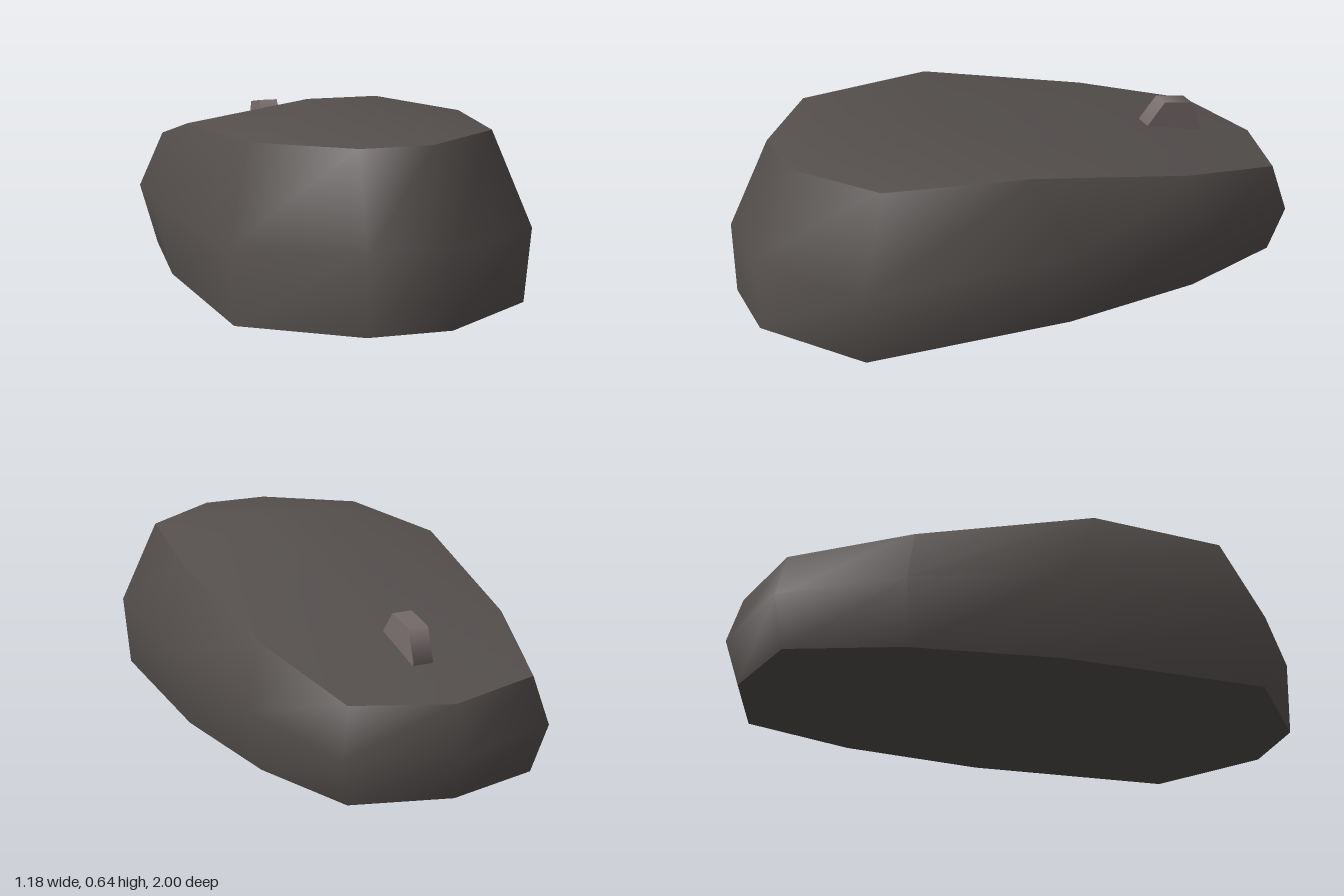
import * as THREE from 'three';

const shellMat = new THREE.MeshStandardMaterial({ color: 0x55504e });
shellMat.name = 'charcoal';
const wheelMat = new THREE.MeshStandardMaterial({ color: 0x7a6e6e });
wheelMat.name = 'warm grey';

// Half outlines (x, y, z) from the front round the left side to the back tip
const topHalf = [[0.12, 0.56, 0.86], [0.41, 0.56, 0.64], [0.49, 0.55, 0.15], [0.44, 0.42, -0.46], [0.33, 0.33, -0.86], [0, 0.315, -0.95]];
const midHalf = [[0.14, 0.26, 1], [0.51, 0.25, 0.75], [0.59, 0.28, 0.02], [0.52, 0.22, -0.5], [0.37, 0.17, -0.9], [0, 0.155, -1]];
const baseHalf = [[0.14, 0, 0.995], [0.49, 0, 0.74], [0.52, 0, 0.02], [0.46, 0, -0.48], [0.33, 0, -0.86], [0, 0, -0.95]];

// Full closed ring from a half outline
const ring = (half) => [...half, ...half.slice(0, -1).reverse().map(([x, y, z]) => [-x, y, z])];

function meshFrom(name, points, index) {
  const geo = new THREE.BufferGeometry();
  geo.setAttribute('position', new THREE.Float32BufferAttribute(points.flat(), 3));
  geo.setIndex(index);
  geo.computeVertexNormals();
  const mesh = new THREE.Mesh(geo, shellMat);
  mesh.name = name;
  return mesh;
}

export function createModel() {
  const group = new THREE.Group();
  group.name = 'computerMouse';
  const top = ring(topHalf), mid = ring(midHalf), base = ring(baseHalf);
  const n = top.length;

  // Side wall: two smooth bands between the base, middle and top rings
  const wall = [];
  for (let r = 0; r < 2; r++) {
    for (let i = 0; i < n; i++) {
      const j = (i + 1) % n;
      const a = r * n + i, b = r * n + j, c = a + n, d = b + n;
      wall.push(a, b, d, a, d, c);
    }
  }
  group.add(meshFrom('sideWall', [...base, ...mid, ...top], wall));

  // Domed top: fans from the two ends of the short ridge
  const left = n, right = n + 1, tip = topHalf.length - 1;
  const cap = [left, tip, right, left, right, 0, right, n - 1, 0];
  for (let i = 0; i < tip; i++) {
    cap.push(left, i, i + 1);
    cap.push(right, n - 2 - i, n - 1 - i);
  }
  // reverse side fan runs from the back tip to the front
  cap.length = 9;
  for (let i = 0; i < n - 1; i++) cap.push(i < tip ? left : right, i, i + 1);
  group.add(meshFrom('topShell', [...top, [0.12, 0.64, 0.32], [-0.12, 0.64, 0.32]], cap));

  // Flat underside
  const under = [];
  for (let i = 1; i < n - 1; i++) under.push(0, i + 1, i);
  group.add(meshFrom('underside', base, under));

  // Six-sided scroll wheel
  const wheelGeo = new THREE.CylinderGeometry(0.115, 0.115, 0.07, 6);
  wheelGeo.rotateZ(Math.PI / 2);
  wheelGeo.rotateX(-Math.PI / 18);
  const wheel = new THREE.Mesh(wheelGeo, wheelMat);
  wheel.name = 'scrollWheel';
  wheel.position.set(0, 0.4, -0.615);
  group.add(wheel);

  return group;
}
